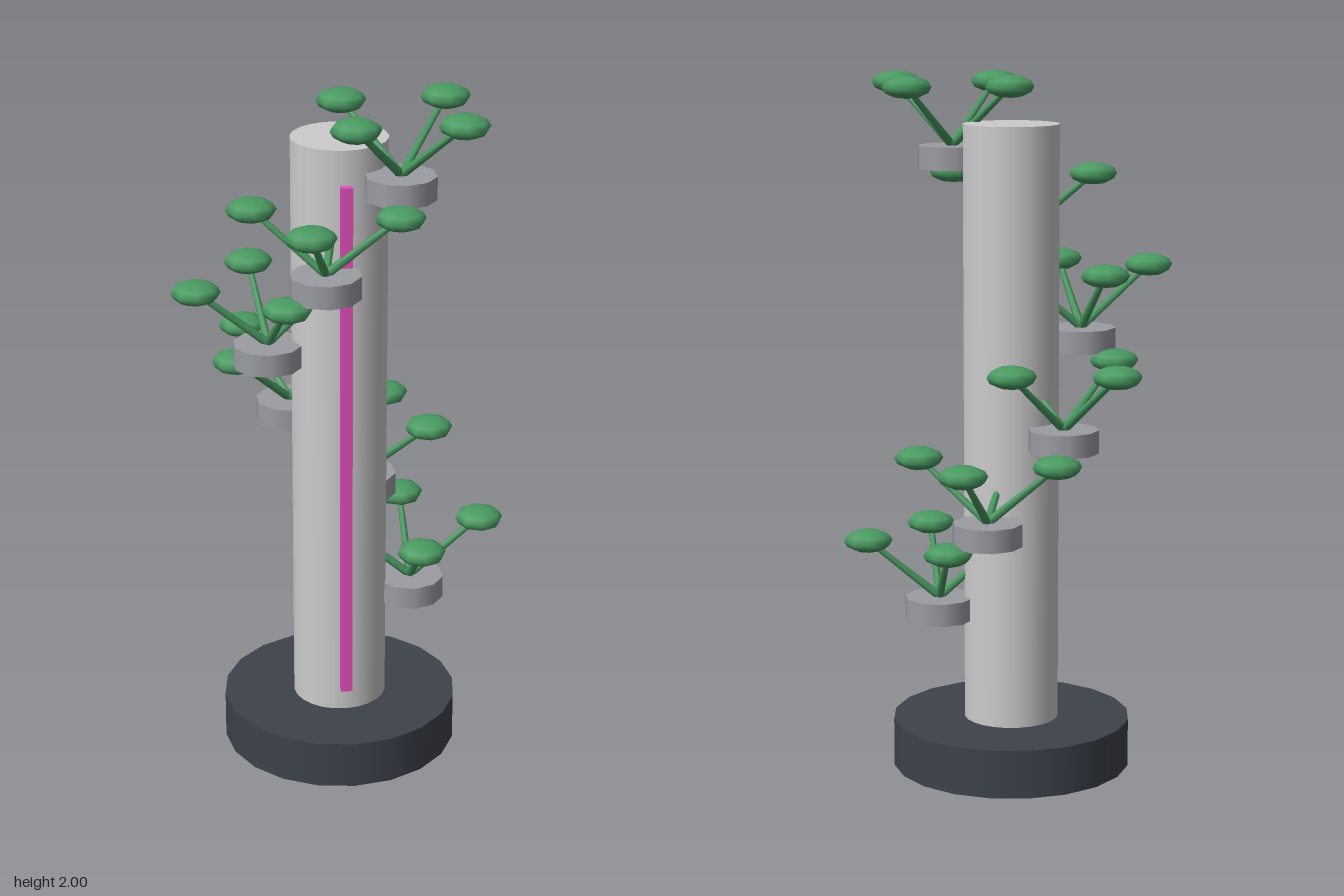
import * as THREE from 'three';

const material = (color) => new THREE.MeshStandardMaterial({ color });

export function createModel() {
  const tower = new THREE.Group();
  tower.name = 'planterTower';
  const white = material(0xcccccc);
  const dark = material(0x3d424c);
  const potGrey = material(0x9c9ca4);
  const green = material(0x4a9a62);
  const pink = material(0xe04fb8);

  const add = (parent, name, geometry, mat, x, y, z) => {
    const mesh = new THREE.Mesh(geometry, mat);
    mesh.name = name;
    mesh.position.set(x, y, z);
    parent.add(mesh);
    return mesh;
  };

  // Axis of the column
  const cx = -0.005, cz = -0.01;

  // Base, column and light strip
  add(tower, 'base', new THREE.CylinderGeometry(0.345, 0.345, 0.14, 20), dark, cx, 0.07, cz);
  add(tower, 'column', new THREE.CylinderGeometry(0.137, 0.137, 1.73, 24), white, cx, 1.0, cz);
  add(tower, 'lightStrip', new THREE.BoxGeometry(0.033, 1.555, 0.03), pink, cx, 0.988, 0.135);

  // Shared plant geometry
  const potHeight = 0.066, reach = 0.205, rise = 0.173;
  const potGeometry = new THREE.CylinderGeometry(0.1, 0.1, potHeight, 10);
  const stemGeometry = new THREE.CylinderGeometry(0.008, 0.013, Math.hypot(reach, rise), 6);
  const leafGeometry = new THREE.SphereGeometry(0.07, 8, 6).scale(1, 0.46, 1);
  const up = new THREE.Vector3(0, 1, 0);

  // Potted plants spiralling up the column, each with four leaves
  for (let i = 0; i < 6; i++) {
    const angle = -i * 1.1;
    const plant = new THREE.Group();
    plant.name = 'pottedPlant' + (i + 1);
    plant.position.set(cx + 0.21 * Math.cos(angle), 0.505 + i * 0.258, cz + 0.21 * Math.sin(angle));
    add(plant, 'pot', potGeometry, potGrey, 0, -potHeight / 2, 0);
    for (let k = 0; k < 4; k++) {
      const a = angle + (k * Math.PI) / 2;
      const tip = new THREE.Vector3(reach * Math.cos(a), rise, reach * Math.sin(a));
      const stem = add(plant, 'stem', stemGeometry, green, tip.x / 2, tip.y / 2, tip.z / 2);
      stem.quaternion.setFromUnitVectors(up, tip.clone().normalize());
      add(plant, 'leaf', leafGeometry, green, tip.x, tip.y, tip.z);
    }
    tower.add(plant);
  }
  return tower;
}
